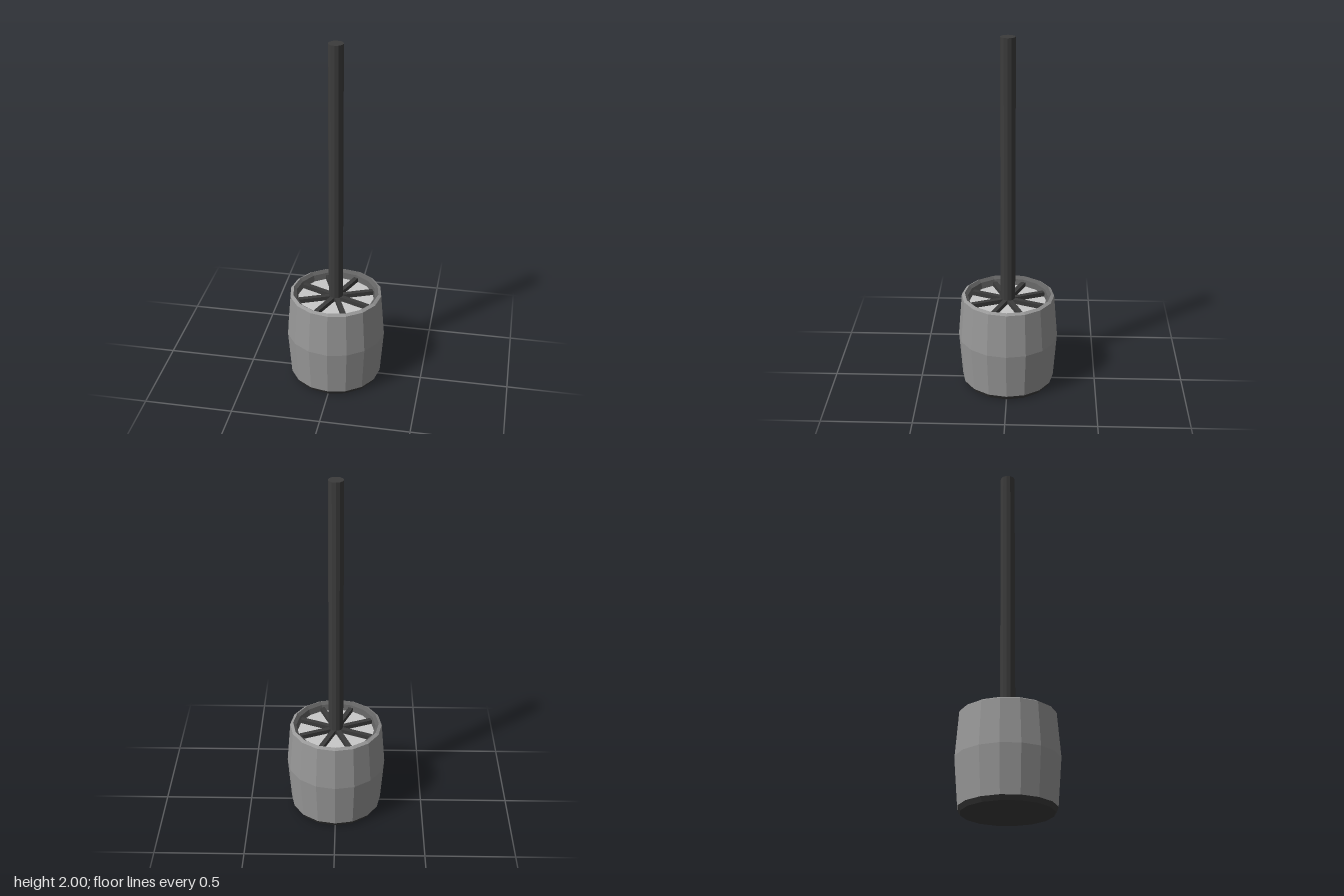
import * as THREE from 'three';

const flat = (name, color, side = THREE.FrontSide) => {
  const m = new THREE.MeshStandardMaterial({ color, flatShading: true, side });
  m.name = name;
  return m;
};

export function createModel() {
  const SIDES = 16;
  const grey = flat('bodyGrey', 0x989898, THREE.DoubleSide);
  const liningGrey = flat('liningGrey', 0x626262, THREE.DoubleSide);
  const dark = flat('darkPlastic', 0x3c3c3c);
  const pale = flat('paleDisc', 0xc8c8c8);
  const model = new THREE.Group();
  model.name = 'brushHolder';

  const add = (name, geometry, material, y = 0) => {
    const mesh = new THREE.Mesh(geometry, material);
    mesh.name = name;
    mesh.position.y = y;
    model.add(mesh);
    return mesh;
  };
  const lathe = (points) =>
    new THREE.LatheGeometry(points.map(([r, y]) => new THREE.Vector2(r, y)), SIDES);

  // Barrel-shaped shell with a bevelled rim
  add('shell', lathe([[0.26, 0.025], [0.28, 0.285], [0.26, 0.53], [0.243, 0.54]]), grey);

  // Inside of the rim, stepping down to the grille
  add('rimLining', lathe([[0.243, 0.54], [0.225, 0.525], [0.215, 0.48]]), liningGrey);

  // Tapered dark foot
  add('foot', new THREE.CylinderGeometry(0.26, 0.245, 0.025, SIDES), dark, 0.0125);

  // Pale disc beneath the spokes
  add('disc', new THREE.CylinderGeometry(0.217, 0.217, 0.01, SIDES), pale, 0.485);

  // Eight spokes radiating from the handle
  for (let i = 0; i < 8; i++) {
    const spoke = new THREE.BoxGeometry(0.19, 0.025, 0.026).translate(0.121, 0, 0);
    add('spoke', spoke, dark, 0.502).rotation.y = (i + 0.5) * Math.PI / 4;
  }

  // Long straight handle
  add('handle', new THREE.CylinderGeometry(0.041, 0.041, 1.51, 12), dark, 1.245);

  return model;
}
